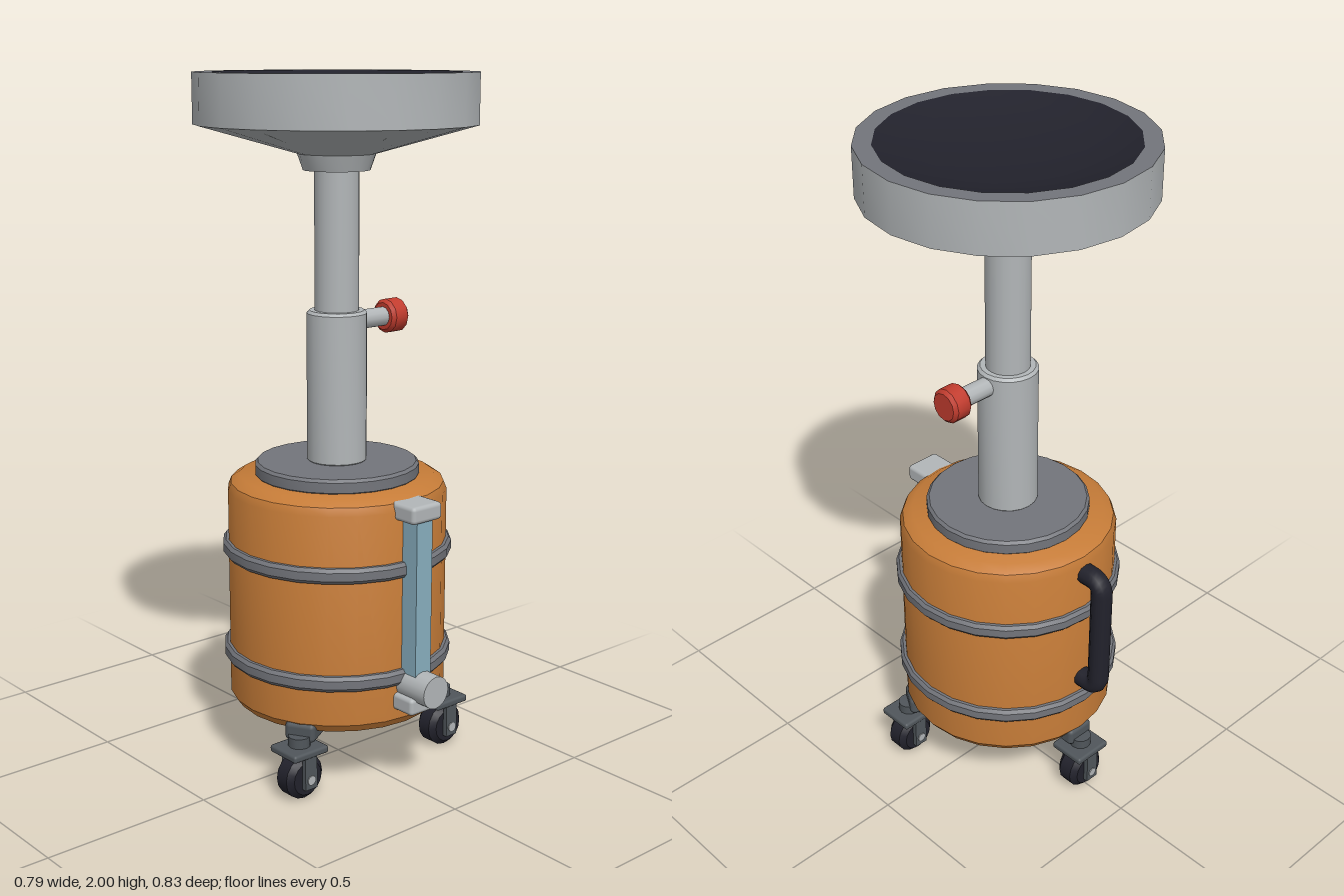
import * as THREE from 'three';
import { toCreasedNormals } from 'three/addons/utils/BufferGeometryUtils.js';
import { RoundedBoxGeometry } from 'three/addons/geometries/RoundedBoxGeometry.js';

const mat = (name, color) => {
  const m = new THREE.MeshStandardMaterial({ color });
  m.name = name;
  return m;
};

export function createModel() {
  const orange = mat('orange paint', 0xc67c38);
  const light = mat('light steel', 0xb2b6b8);
  const grey = mat('grey steel', 0x73757b);
  const dark = mat('dark steel', 0x50565b);
  const black = mat('black rubber', 0x22222c);
  const red = mat('red knob', 0xc23c2e);
  const glass = mat('gauge glass', 0x88afbf);

  const model = new THREE.Group();
  const body = new THREE.Group();
  body.name = 'body';
  body.position.z = -0.006;
  model.add(body);

  const add = (name, geo, material, x = 0, y = 0, z = 0, parent = body) => {
    const mesh = new THREE.Mesh(geo, material);
    mesh.name = name;
    mesh.position.set(x, y, z);
    parent.add(mesh);
    return mesh;
  };
  // Profiles run from the bottom, round the outside, to the top
  const lathe = (pts, segments = 24) => toCreasedNormals(
    new THREE.LatheGeometry(pts.map(([r, y]) => new THREE.Vector2(r, y)), segments), 0.6);
  // Cylinder with bevelled ends, standing on y = 0
  const bevelled = (r, h, b, segments) =>
    lathe([[0, 0], [r - b, 0], [r, b], [r, h - b], [r - b, h], [0, h]], segments);

  // Tank, straps and lid
  add('tank', lathe([[0, 0.19], [0.27, 0.19], [0.3, 0.196], [0.317, 0.22], [0.317, 0.83],
    [0.308, 0.852], [0.28, 0.87], [0, 0.87]]), orange);
  for (const y of [0.347, 0.662]) {
    add('strap', lathe([[0.312, -0.023], [0.325, -0.022], [0.333, -0.012], [0.333, 0.012],
      [0.325, 0.022], [0.312, 0.023]]), grey, 0, y);
  }
  add('lid', bevelled(0.237, 0.045, 0.008), grey, 0, 0.865);

  // Telescopic column
  add('outerColumn', bevelled(0.086, 0.44, 0.008, 20), light, 0, 0.905);
  add('innerColumn', new THREE.CylinderGeometry(0.063, 0.063, 0.42, 20), light, 0, 1.54);

  // Bowl head with flat rim and dished top
  add('bowl', lathe([[0.06, 1.735], [0.094, 1.735], [0.11, 1.78], [0.395, 1.86], [0.395, 2]], 20), light);
  add('bowlRim', lathe([[0.395, 2], [0.345, 2]], 20), grey);
  add('dish', lathe([[0.347, 2], [0.28, 1.977], [0.2, 1.961], [0.1, 1.951], [0, 1.948]], 20), black);

  // Clamp screw on the left side
  const stalk = add('clampStalk', new THREE.CylinderGeometry(0.028, 0.028, 0.12, 12), light, 0.13, 1.307);
  stalk.rotation.z = Math.PI / 2;
  const knob = add('clampKnob', bevelled(0.05, 0.064, 0.01, 12), red, 0.175, 1.307);
  knob.rotation.z = -Math.PI / 2;

  // Level gauge and tap on the front
  add('gaugeTube', new THREE.BoxGeometry(0.058, 0.53, 0.058), glass, 0, 0.56, 0.341);
  for (const y of [0.275, 0.831]) {
    add('gaugeMount', new RoundedBoxGeometry(0.11, 0.05, 0.11, 2, 0.012), light, 0, y, 0.328);
  }
  const tap = add('tap', new THREE.CylinderGeometry(0.047, 0.047, 0.12, 16), light, 0, 0.322, 0.363);
  tap.rotation.x = Math.PI / 2;

  // Carry handle on the back
  const grip = new THREE.CurvePath();
  const v = (y, z) => new THREE.Vector3(0, y, z);
  const [top, low, out, bend] = [0.798, 0.418, -0.379, 0.04];
  grip.add(new THREE.LineCurve3(v(top, -0.29), v(top, out + bend)));
  grip.add(new THREE.QuadraticBezierCurve3(v(top, out + bend), v(top, out), v(top - bend, out)));
  grip.add(new THREE.LineCurve3(v(top - bend, out), v(low + bend, out)));
  grip.add(new THREE.QuadraticBezierCurve3(v(low + bend, out), v(low, out), v(low, out + bend)));
  grip.add(new THREE.LineCurve3(v(low, out + bend), v(low, -0.29)));
  add('handle', new THREE.TubeGeometry(grip, 60, 0.031, 10), black);

  // Three-armed base with a caster under each arm
  for (let i = 0; i < 3; i++) {
    const angle = Math.PI + (i * Math.PI * 2) / 3;
    const arm = new THREE.Group();
    arm.name = 'baseArm';
    arm.rotation.y = angle;
    body.add(arm);
    add('armBar', new RoundedBoxGeometry(0.09, 0.056, 0.33, 2, 0.014), dark, 0, 0.192, 0.155, arm);

    const caster = new THREE.Group();
    caster.name = 'caster';
    caster.position.set(Math.sin(angle) * 0.317, 0, Math.cos(angle) * 0.317);
    body.add(caster);
    add('swivelStem', new THREE.CylinderGeometry(0.032, 0.032, 0.04, 12), dark, 0, 0.165, 0, caster);
    add('casterPlate', new RoundedBoxGeometry(0.124, 0.022, 0.114, 2, 0.008), dark, 0, 0.145, 0, caster);
    const wheel = add('wheel', bevelled(0.065, 0.074, 0.016, 16), black, 0, 0.067, -0.037, caster);
    wheel.rotation.x = Math.PI / 2;
    for (const side of [-1, 1]) {
      add('fork', new THREE.BoxGeometry(0.042, 0.1, 0.014), dark, 0, 0.09, side * 0.046, caster);
    }
    const axle = add('axle', new THREE.CylinderGeometry(0.014, 0.014, 0.112, 10), light, 0, 0.067, 0, caster);
    axle.rotation.x = Math.PI / 2;
  }

  return model;
}
